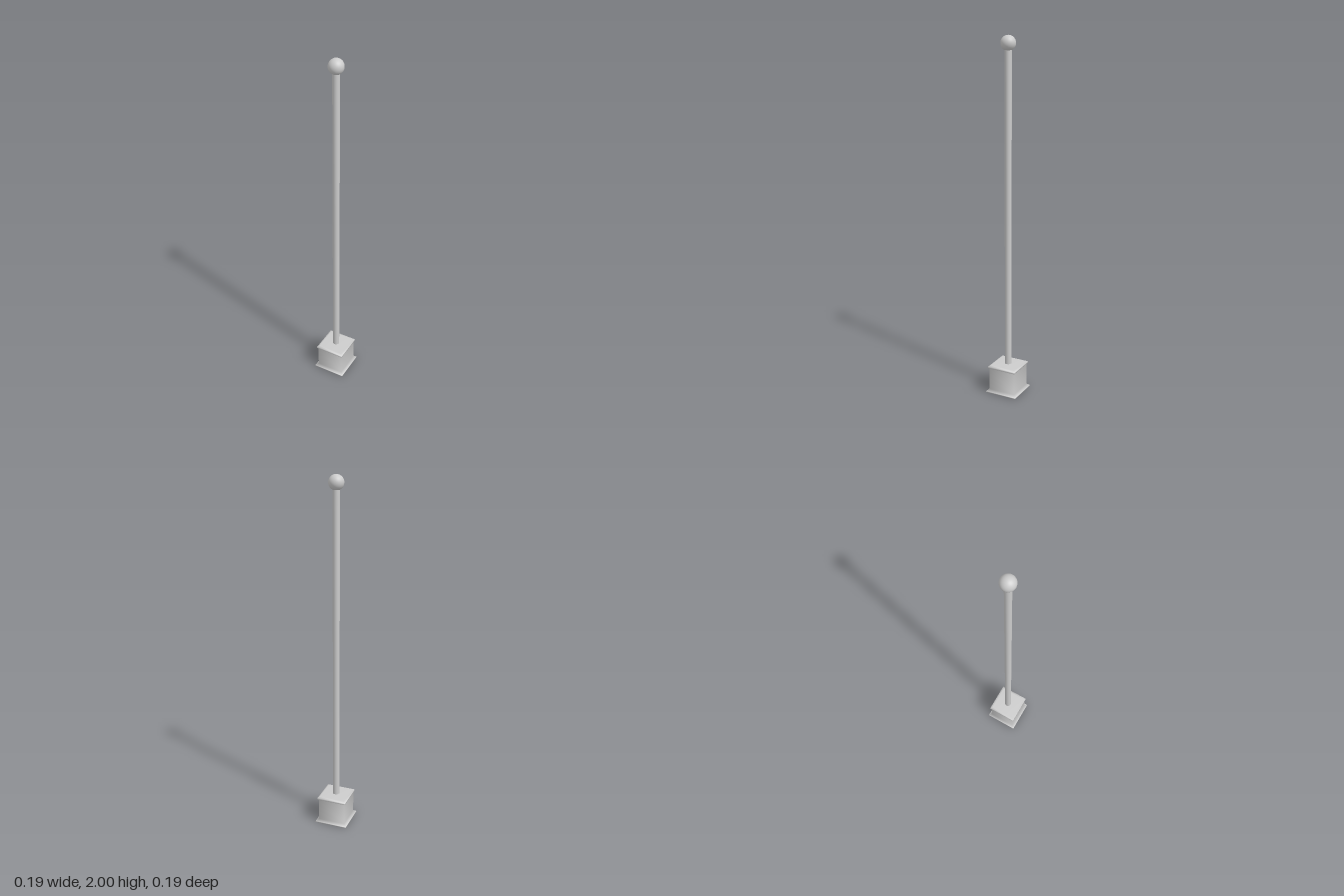
import * as THREE from 'three';

export function createModel() {
  const group = new THREE.Group();
  const material = new THREE.MeshStandardMaterial({ color: 0xcccccc });

  const add = (name, geometry, y = 0) => {
    const mesh = new THREE.Mesh(geometry, material);
    mesh.name = name;
    mesh.position.y = y;
    group.add(mesh);
  };

  // Square pedestal: [half width, height] profile turned with four sides
  const profile = [
    [0, 0], [0.094, 0], [0.094, 0.005], [0.079, 0.017], [0.079, 0.142],
    [0.085, 0.148], [0.085, 0.157], [0.073, 0.164], [0, 0.164],
  ].map(([half, y]) => new THREE.Vector2(half * Math.SQRT2, y));
  add('pedestal', new THREE.LatheGeometry(profile, 4, Math.PI / 4));

  // Slim round pole rising into the ball
  const poleBottom = 0.15, poleTop = 1.95;
  add('pole', new THREE.CylinderGeometry(0.019, 0.019, poleTop - poleBottom, 24),
    (poleBottom + poleTop) / 2);

  // Ball finial
  add('ballFinial', new THREE.SphereGeometry(0.041, 32, 20), 1.959);

  return group;
}
